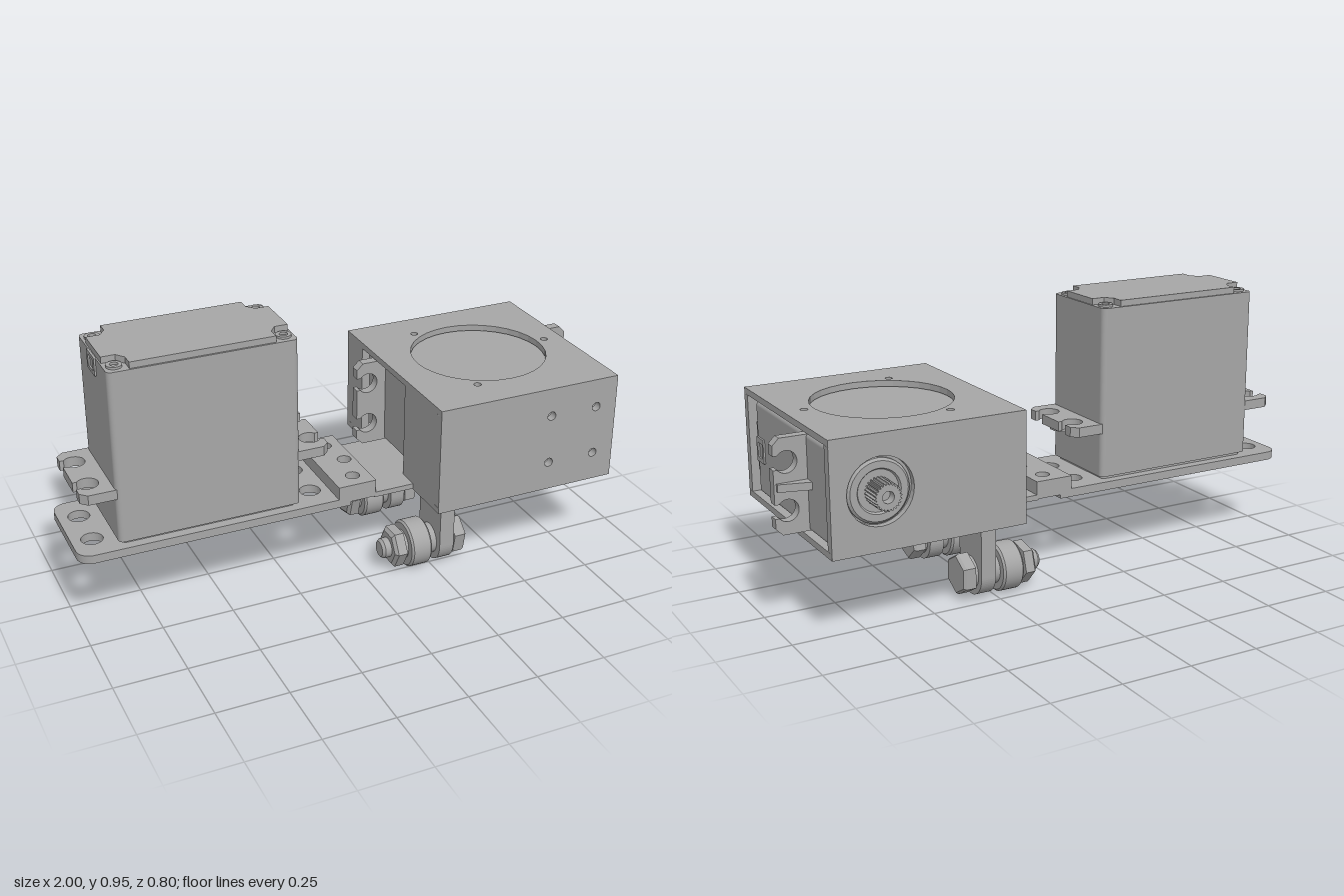
import * as THREE from 'three';

const gray = new THREE.MeshStandardMaterial({ color: 0xa6a6a6 });
gray.name = 'machined gray';

function mesh(name, geometry, parent) {
  const m = new THREE.Mesh(geometry, gray);
  m.name = name;
  parent.add(m);
  return m;
}

// Box given by its minimum and maximum corners
function box(name, parent, [x0, y0, z0], [x1, y1, z1]) {
  const g = new THREE.BoxGeometry(x1 - x0, y1 - y0, z1 - z0);
  g.translate((x0 + x1) / 2, (y0 + y1) / 2, (z0 + z1) / 2);
  return mesh(name, g, parent);
}

function roundRect(x0, y0, x1, y1, r, Type = THREE.Shape) {
  const s = new Type();
  s.moveTo(x0 + r, y0);
  s.lineTo(x1 - r, y0).absarc(x1 - r, y0 + r, r, -Math.PI / 2, 0, false);
  s.lineTo(x1, y1 - r).absarc(x1 - r, y1 - r, r, 0, Math.PI / 2, false);
  s.lineTo(x0 + r, y1).absarc(x0 + r, y1 - r, r, Math.PI / 2, Math.PI, false);
  s.lineTo(x0, y0 + r).absarc(x0 + r, y0 + r, r, Math.PI, Math.PI * 1.5, false);
  return s;
}

function polygon(points) {
  return new THREE.Shape(points.map(([x, y]) => new THREE.Vector2(x, y)));
}

function drill(shape, r, ...centres) {
  for (const [x, y] of centres) shape.holes.push(new THREE.Path().absarc(x, y, r, 0, Math.PI * 2, true));
  return shape;
}

function extrude(shape, depth) {
  return new THREE.ExtrudeGeometry(shape, { depth, bevelEnabled: false, curveSegments: 16 });
}

// Horizontal slab: shape (x, y) becomes (x, z), between heights y0 and y1
function slab(shape, y0, y1) {
  return extrude(shape, y1 - y0).rotateX(Math.PI / 2).translate(0, y1, 0);
}

// Servo standing on its output face, shaft pointing down
function createServo(name) {
  const servo = new THREE.Group();
  servo.name = name;
  mesh('servoFoot', slab(roundRect(-0.305, -0.15, 0.305, 0.15, 0.015), -0.012, 0.005), servo);
  mesh('servoBody', slab(roundRect(-0.32, -0.165, 0.32, 0.165, 0.018), 0, 0.608), servo);

  // Cap with its four corners cut away for the screws
  const c = [[0.245, 0.158], [0.245, 0.115], [0.268, 0.085], [0.315, 0.085]];
  const outline = [
    ...c.map(([x, z]) => [x, z]), ...[...c].reverse().map(([x, z]) => [x, -z]),
    ...c.map(([x, z]) => [-x, -z]), ...[...c].reverse().map(([x, z]) => [-x, z]),
  ];
  mesh('servoCap', slab(polygon(outline), 0.6, 0.63), servo);
  for (const sx of [-1, 1]) for (const sz of [-1, 1]) {
    const ring = drill(new THREE.Shape().absarc(sx * 0.284, sz * 0.122, 0.026, 0, Math.PI * 2), 0.014, [sx * 0.284, sz * 0.122]);
    mesh('capScrew', slab(ring, 0.605, 0.616), servo);
  }

  // Mounting ears with two open slots and a tapered rib
  for (const s of [-1, 1]) {
    const ear = new THREE.Shape();
    ear.moveTo(0.31, -0.16).lineTo(0.41, -0.16).lineTo(0.433, -0.137);
    for (const z of [-0.08, 0.08]) {
      ear.lineTo(0.433, z - 0.023);
      ear.lineTo(0.421, z - 0.023);
      ear.absarc(0.39, z, 0.037, -0.67, 0.67, true);
      ear.lineTo(0.433, z + 0.023);
    }
    ear.lineTo(0.433, 0.137).lineTo(0.41, 0.16).lineTo(0.31, 0.16);
    const geo = slab(ear, 0.16, 0.195);
    const rib = extrude(polygon([[0.31, 0.12], [0.425, 0.15], [0.425, 0.165], [0.31, 0.165]]), 0.026).translate(0, 0, -0.013);
    for (const [n, g] of [['mountingEar', geo], ['earRib', rib]]) {
      if (s < 0) g.rotateY(Math.PI);
      mesh(n, g, servo);
    }
  }

  // Cable socket on the shaft end
  const socket = roundRect(-0.045, 0.545, 0.04, 0.61, 0.004);
  socket.holes.push(roundRect(-0.03, 0.557, 0.022, 0.597, 0.003, THREE.Path));
  mesh('cableSocket', extrude(socket, 0.008).rotateY(-Math.PI / 2).translate(-0.318, 0, 0), servo);

  // Output collar and toothed shaft
  const collar = [[0, 0], [0.107, 0], [0.107, -0.022], [0.099, -0.03], [0.075, -0.03], [0.07, -0.022], [0, -0.022]]
    .map(([x, y]) => new THREE.Vector2(x, y)).reverse();
  const cg = new THREE.LatheGeometry(collar, 40).toNonIndexed();
  cg.computeVertexNormals();
  mesh('outputCollar', cg.translate(-0.16, 0, 0), servo);
  const teeth = [];
  for (let i = 0; i < 96; i++) {
    const a = i / 96 * Math.PI * 2, r = i % 4 < 2 ? 0.047 : 0.04;
    teeth.push([-0.16 + Math.cos(a) * r, Math.sin(a) * r]);
  }
  mesh('outputShaft', slab(drill(polygon(teeth), 0.02, [-0.16, 0]), -0.098, -0.015), servo);
  mesh('shaftCore', new THREE.CylinderGeometry(0.022, 0.022, 0.04, 20).translate(-0.16, -0.045, 0), servo);
  return servo;
}

// Arm with a bolt, roller and nut, centred on z = 0
function createRoller(name, headTurn) {
  const g = new THREE.Group();
  g.name = name;
  const arm = new THREE.Shape();
  arm.moveTo(0.079, 0.3).lineTo(-0.079, 0.3).lineTo(-0.079, 0.09);
  arm.absarc(0, 0.09, 0.079, Math.PI, Math.PI * 2, false);
  mesh('rollerArm', extrude(arm, 0.055).rotateY(Math.PI / 2).translate(0.265, 0, 0), g);
  // Fillets where the arm meets the housing
  for (const [x, s] of [[0.267, -1], [0.318, 1]]) {
    const f = new THREE.Shape();
    f.moveTo(x, 0.27).quadraticCurveTo(x, 0.297, x + s * 0.027, 0.297).lineTo(x, 0.297);
    mesh('armFillet', extrude(f, 0.158).translate(0, 0, -0.079), g);
  }
  const along = (part, x0, x1, r0, r1, sides, turn = 0) => {
    const geo = new THREE.CylinderGeometry(r1, r0, x1 - x0, sides);
    geo.rotateY(turn).rotateZ(-Math.PI / 2).translate((x0 + x1) / 2, 0.09, 0);
    const out = sides === 6 ? geo.toNonIndexed() : geo;
    if (sides === 6) out.computeVertexNormals();
    mesh(part, out, g);
  };
  along('boltThread', 0.075, 0.34, 0.036, 0.036, 24);
  along('boltTip', 0.065, 0.075, 0.028, 0.036, 24);
  along('nut', 0.108, 0.142, 0.074, 0.074, 6, headTurn + 0.3);
  along('nutChamfer', 0.098, 0.108, 0.06, 0.074, 6, headTurn + 0.3);
  along('nutWasher', 0.14, 0.158, 0.052, 0.052, 28);
  along('rollerEdge', 0.156, 0.163, 0.078, 0.085, 40);
  along('roller', 0.163, 0.228, 0.085, 0.085, 40);
  along('rollerEdge', 0.228, 0.235, 0.085, 0.078, 40);
  along('spacer', 0.235, 0.266, 0.055, 0.055, 28);
  along('headWasher', 0.319, 0.332, 0.058, 0.058, 28);
  along('boltHead', 0.332, 0.367, 0.073, 0.073, 6, headTurn);
  along('boltHeadChamfer', 0.367, 0.377, 0.073, 0.066, 6, headTurn);
  return g;
}

export function createModel() {
  const model = new THREE.Group();
  model.name = 'servoBracketAssembly';

  // Base plate under the upright servo
  const base = new THREE.Shape();
  base.moveTo(-0.04, -0.16).lineTo(-0.04, 0.21).lineTo(-0.95, 0.21);
  base.absarc(-0.95, 0.16, 0.05, Math.PI / 2, Math.PI, false);
  base.lineTo(-1, -0.11).absarc(-0.95, -0.11, 0.05, Math.PI, Math.PI * 1.5, false);
  drill(base, 0.037, [-0.93, -0.055], [-0.93, 0.105], [-0.15, -0.055], [-0.15, 0.105]);
  drill(base, 0.112, [-0.7, 0.025]);
  mesh('basePlate', slab(base, 0.288, 0.318), model);

  // Raised joint and tongue linking the plate to the housing
  const joint = drill(roundRect(-0.085, -0.16, 0.055, 0.21, 0.002), 0.025, [-0.005, -0.095], [-0.005, 0.145], [0.018, 0.025]);
  mesh('jointBlock', slab(joint, 0.302, 0.365), model);
  box('tongue', model, [0.05, 0.298, -0.16], [0.21, 0.317, 0.21]);

  // Housing around the lying servo
  const housing = new THREE.Group();
  housing.name = 'housing';
  model.add(housing);
  const top = drill(roundRect(0.2, -0.34, 0.89, 0.4, 0.001), 0.013, [0.82, 0.025], [0.41, -0.213], [0.41, 0.263]);
  top.holes.push(new THREE.Path().absarc(0.545, 0.025, 0.242, 0, Math.PI * 2, true));
  mesh('housingTop', slab(top, 0.663, 0.685), housing);
  const bottom = roundRect(0.2, -0.34, 0.89, 0.4, 0.001);
  bottom.holes.push(roundRect(0.36, -0.16, 0.73, 0.31, 0.025, THREE.Path));
  mesh('housingBottom', slab(bottom, 0.295, 0.317), housing);
  const front = drill(roundRect(0.2, 0.317, 0.89, 0.663, 0.001), 0.016, [0.63, 0.4], [0.63, 0.58], [0.81, 0.4], [0.81, 0.58]);
  mesh('housingFront', extrude(front, 0.03).translate(0, 0, 0.37), housing);
  const back = drill(roundRect(0.2, 0.317, 0.89, 0.663, 0.001), 0.115, [0.72, 0.495]);
  mesh('housingBack', extrude(back, 0.032).translate(0, 0, -0.34), housing);
  box('housingEndPanel', housing, [0.2, 0.317, 0.13], [0.23, 0.663, 0.37]);
  box('housingEndPanel', housing, [0.2, 0.317, -0.308], [0.23, 0.663, -0.215]);

  // Two servos, one upright and one lying in the housing
  const upright = createServo('uprightServo');
  upright.position.set(-0.54, 0.33, 0.025);
  model.add(upright);
  const lying = createServo('lyingServo');
  lying.quaternion.setFromRotationMatrix(new THREE.Matrix4().makeBasis(
    new THREE.Vector3(-1, 0, 0), new THREE.Vector3(0, 0, 1), new THREE.Vector3(0, 1, 0)));
  lying.position.set(0.563, 0.494, -0.305);
  model.add(lying);

  // Rollers under the housing
  for (const [name, z, turn] of [['frontRoller', 0.222, 0.2], ['backRoller', -0.167, 0]]) {
    const roller = createRoller(name, turn + Math.PI / 6);
    roller.position.z = z;
    model.add(roller);
  }
  return model;
}
